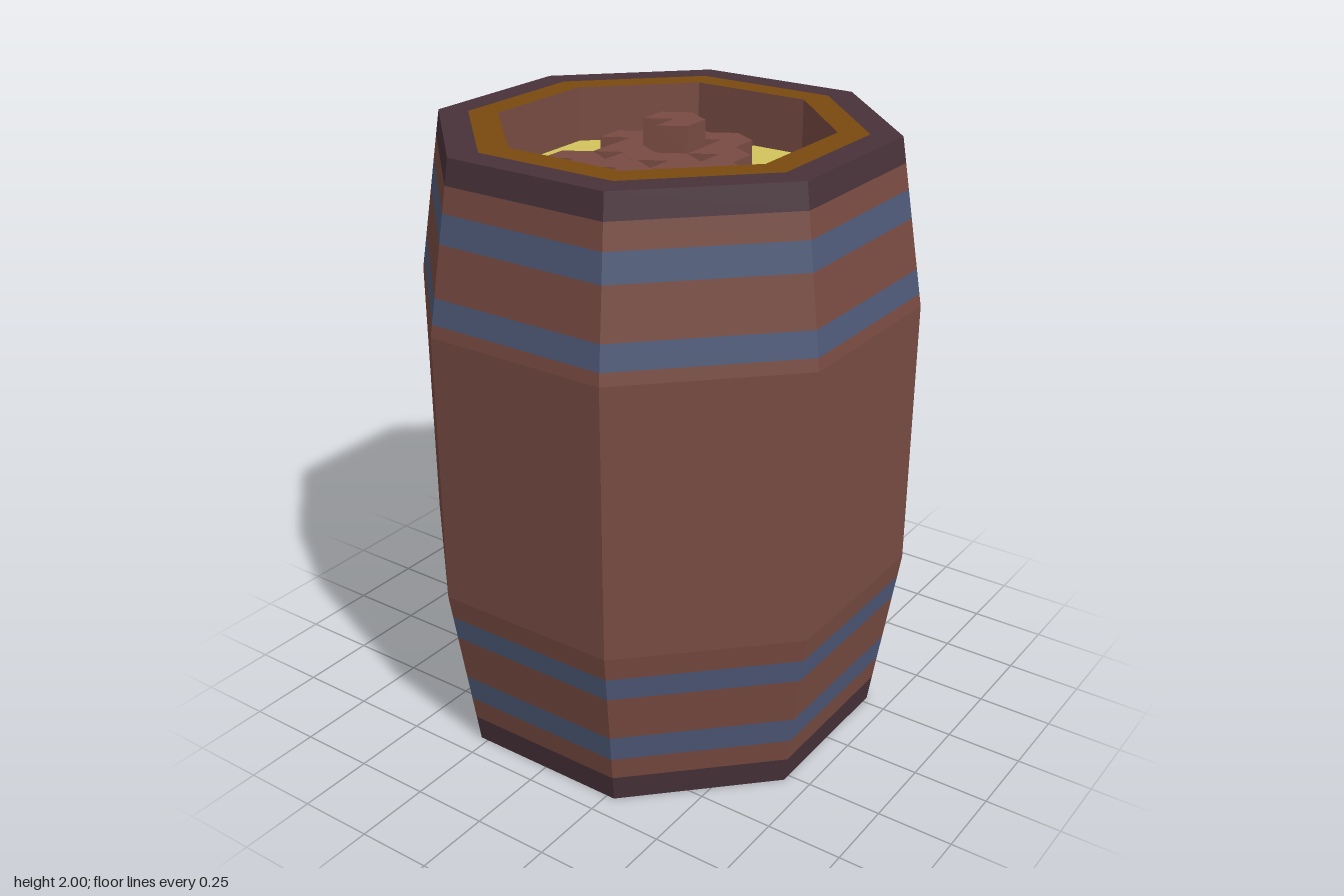
import * as THREE from 'three';

const mat = (name, color) => {
  const m = new THREE.MeshStandardMaterial({ color, flatShading: true });
  m.name = name;
  return m;
};

export function createModel() {
  const wood = mat('wood brown', 0x784b42);
  const iron = mat('band blue', 0x4e5a78);
  const rim = mat('rim dark', 0x48323a);
  const ochre = mat('ochre trim', 0x7a4a10);
  const yellow = mat('yellow filling', 0xd2c25c);

  const group = new THREE.Group();
  group.name = 'barrel';

  // Eight-sided ring; points are [apothem, height], following the outline outwards and up
  const ring = (name, material, points) => {
    const pts = points.map(([a, y]) => new THREE.Vector2(a / Math.cos(Math.PI / 8), y));
    const mesh = new THREE.Mesh(new THREE.LatheGeometry(pts, 8, Math.PI / 8), material);
    mesh.name = name;
    group.add(mesh);
  };

  // Half-width of the bulging barrel at height y
  const apothem = (y) => {
    if (y < 0.58) return 0.67 + 0.08 * y / 0.58;
    if (y > 1.47) return 0.75 - 0.08 * (y - 1.47) / 0.53;
    return 0.75;
  };

  // Outer wall, split where the colour changes
  const levels = [
    [0, 'bottomRim', rim], [0.09, 'lowerStaves', wood], [0.17, 'lowestBand', iron],
    [0.26, 'lowStaves', wood], [0.42, 'lowBand', iron], [0.5, 'middleStaves', wood],
    [1.51, 'highBand', iron], [1.59, 'highStaves', wood], [1.75, 'highestBand', iron],
    [1.84, 'upperStaves', wood], [1.92, 'topRim', rim], [2],
  ];
  for (let i = 0; i < levels.length - 1; i++) {
    const [y0, name, material] = levels[i];
    const y1 = levels[i + 1][0];
    const heights = [y0, ...[0.58, 1.47].filter((y) => y > y0 && y < y1), y1];
    ring(name, material, heights.map((y) => [apothem(y), y]));
  }

  // Underside
  ring('bottomBoard', wood, [[0, 0], [0.49, 0]]);
  ring('bottomTrim', ochre, [[0.49, 0], [0.58, 0]]);
  ring('bottomRimFace', rim, [[0.58, 0], [0.67, 0]]);

  // Open top with a sunken filling
  const floorY = 1.82;
  ring('topRimFace', rim, [[0.67, 2], [0.58, 2]]);
  ring('topTrim', ochre, [[0.58, 2], [0.49, 2]]);
  ring('innerWall', wood, [[0.49, 2], [0.49, floorY]]);
  ring('filling', yellow, [[0.49, floorY], [0, floorY]]);

  // Hexagonal chunks, each with one wedge cut out
  const r = 0.097;
  const chunkHeight = 0.085;
  const shape = new THREE.Shape();
  shape.moveTo(0, 0);
  for (let i = 0; i < 6; i++) {
    const a = Math.PI + i * Math.PI / 3;
    shape.lineTo(r * Math.cos(a), r * Math.sin(a));
  }
  shape.closePath();
  const chunkGeo = new THREE.ExtrudeGeometry(shape, { depth: chunkHeight, bevelEnabled: false });
  chunkGeo.rotateX(-Math.PI / 2);

  const addChunk = (x, y, z) => {
    const chunk = new THREE.Mesh(chunkGeo, wood);
    chunk.name = 'chunk';
    chunk.position.set(x, y, z);
    group.add(chunk);
  };
  // Honeycomb columns: x, first z, count
  const columns = [[-0.208, -0.188, 3], [-0.062, -0.106, 3], [0.084, -0.188, 3], [0.229, -0.106, 2]];
  for (const [x, z, count] of columns) {
    for (let i = 0; i < count; i++) addChunk(x, floorY, z + i * 0.167);
  }
  // One chunk stacked on the heap
  addChunk(0.084, floorY + chunkHeight, -0.021);

  return group;
}
